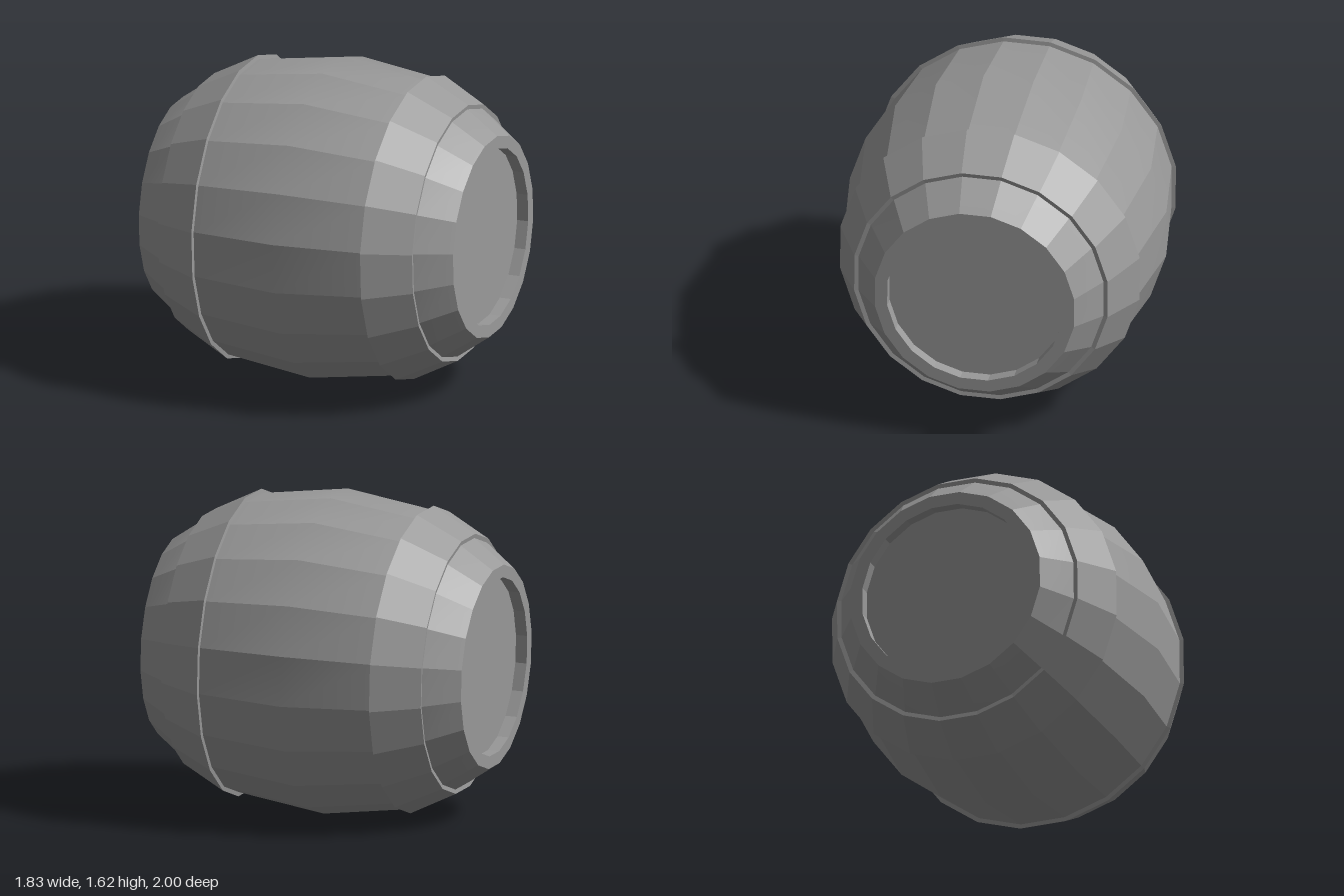
import * as THREE from 'three';
import { mergeGeometries } from 'three/addons/utils/BufferGeometryUtils.js';

const SIDES = 20;
const STEP = (Math.PI * 2) / SIDES;

// Ring of staves along z: sharp between staves, smooth lengthwise.
// Profile points are [radius, distance along the axis].
function staves(profile) {
  const points = profile.map(([r, t]) => new THREE.Vector2(r, t));
  const parts = [];
  for (let i = 0; i < SIDES; i++) {
    const stave = new THREE.LatheGeometry(points, 1, (i - 0.5) * STEP, STEP);
    stave.computeVertexNormals();
    parts.push(stave);
  }
  return mergeGeometries(parts).rotateX(Math.PI / 2);
}

// Same, but with a sharp edge at every profile point
function bands(profile) {
  return mergeGeometries(profile.slice(1).map((p, i) => staves([profile[i], p])));
}

export function createModel() {
  const grey = new THREE.MeshStandardMaterial({ color: 0x999999 });
  grey.name = 'grey';

  const barrel = new THREE.Group();
  barrel.name = 'barrel';
  const add = (parent, name, geometry) => {
    const mesh = new THREE.Mesh(geometry, grey);
    mesh.name = name;
    parent.add(mesh);
  };

  // Bulging body
  add(barrel, 'body', staves([[0.753, -0.47], [0.82, 0], [0.753, 0.47]]));

  // Two matching ends
  for (const side of ['front', 'back']) {
    const end = new THREE.Group();
    end.name = side + 'End';
    if (side === 'back') end.rotation.y = Math.PI;

    add(end, side + 'Taper', staves([[0.753, 0.47], [0.634, 0.69], [0.516, 0.857]]));
    add(end, side + 'Hoop', bands([[0.745, 0.455], [0.776, 0.46], [0.656, 0.693], [0.625, 0.688]]));
    add(end, side + 'Rim', bands([[0.516, 0.857], [0.452, 0.857], [0.452, 0.797]]));
    const lid = new THREE.CircleGeometry(0.452, SIDES, STEP / 2);
    add(end, side + 'Lid', lid.translate(0, 0, 0.797));
    barrel.add(end);
  }

  // Lying on its side, turned and slightly tipped up at the front
  barrel.rotation.set(-0.023, 0.542, 0, 'YXZ');
  barrel.position.y = 0.813;

  const model = new THREE.Group();
  model.add(barrel);
  return model;
}
